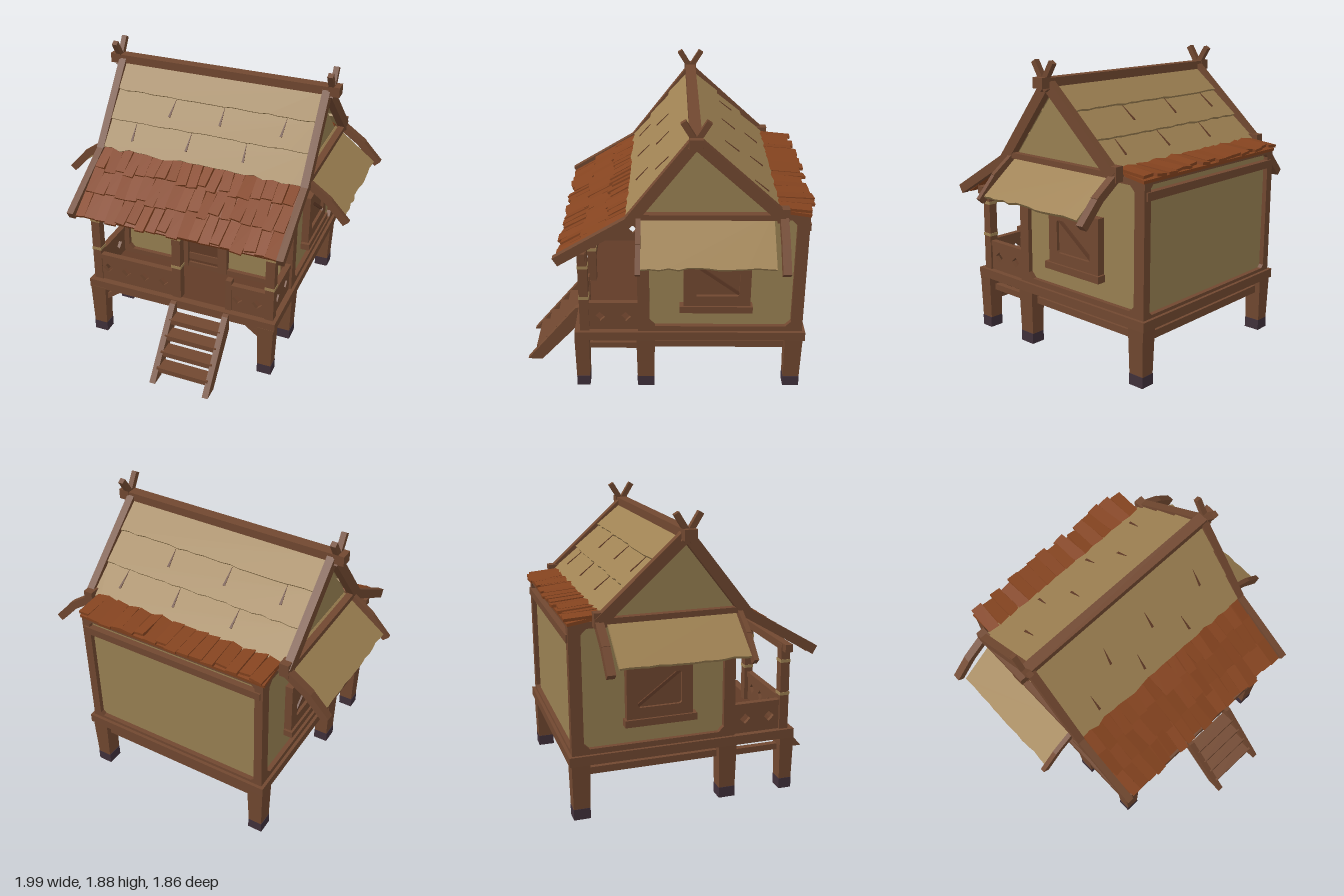
import * as THREE from 'three';
import { mergeGeometries } from 'three/addons/utils/BufferGeometryUtils.js';

const mat = (name, color) => Object.assign(new THREE.MeshStandardMaterial({ color, flatShading: true, side: THREE.DoubleSide }), { name });
const V = (x, y, z) => new THREE.Vector3(x, y, z);

export function createModel() {
  const timber = mat('timber', 0x714830), darkTimber = mat('dark timber', 0x613b27);
  const straw = mat('straw', 0x9f8253), plaster = mat('plaster', 0x988052);
  const shingle = mat('red shingle', 0x84431f), foot = mat('foot', 0x40303a);
  const model = new THREE.Group();
  model.name = 'stiltHouse';

  let seed = 7;
  const rnd = (a, b) => {
    seed = (seed * 16807) % 2147483647;
    return a + (b - a) * seed / 2147483647;
  };
  const add = (name, geo, m) => {
    const mesh = new THREE.Mesh(geo, m);
    mesh.name = name;
    model.add(mesh);
    return mesh;
  };
  // Axis-aligned box given by its limits
  const box = (name, m, x0, x1, y0, y1, z0, z1) =>
    add(name, new THREE.BoxGeometry(x1 - x0, y1 - y0, z1 - z0).translate((x0 + x1) / 2, (y0 + y1) / 2, (z0 + z1) / 2), m);
  // Square timber running from p to q
  const beam = (name, m, p, q, w, h) => {
    const mesh = add(name, new THREE.BoxGeometry(w, h, p.distanceTo(q)), m);
    mesh.position.copy(p).lerp(q, 0.5);
    mesh.lookAt(q);
    return mesh;
  };
  const poly = pts => pts.map(p => new THREE.Vector2(p[0], p[1]));
  const extrude = (shape, depth) =>
    new THREE.ExtrudeGeometry(shape, { depth, bevelEnabled: false }).translate(0, 0, -depth / 2);
  // Rectangle with cut corners
  const cutRect = (x0, x1, y0, y1, c) => poly([[x0 + c, y0], [x1 - c, y0], [x1, y0 + c], [x1, y1 - c],
    [x1 - c, y1], [x0 + c, y1], [x0, y1 - c], [x0, y0 + c]]);
  const frame = (w, h, side, bottom, top, cut, depth) => {
    const s = new THREE.Shape(poly([[-w / 2, 0], [w / 2, 0], [w / 2, h], [-w / 2, h]]));
    s.holes.push(new THREE.Path(cutRect(-w / 2 + side, w / 2 - side, bottom, h - top, cut)));
    return extrude(s, depth);
  };
  // Moves geometry drawn in (across, up-slope, normal) axes onto a slope
  const onSlope = (geo, top, bottom) => {
    const up = top.clone().sub(bottom).normalize();
    const across = V(0, 1, 0).cross(bottom.clone().sub(top)).normalize();
    const m = new THREE.Matrix4().makeBasis(across, up, across.clone().cross(up)).setPosition(top);
    return geo.applyMatrix4(m);
  };
  // Straw sheet with a ragged lower edge, hanging down from y = 0
  const ragged = (w, len, depth, teeth, jag) => {
    const pts = [[w / 2, 0], [-w / 2, 0]];
    for (let i = 0; i <= teeth; i++) pts.push([-w / 2 + w * i / teeth, -len - rnd(-jag, jag)]);
    return extrude(new THREE.Shape(poly(pts)), depth);
  };
  // Overlapping jittered shingles laid in rows
  const shingleRoof = (name, w, top, bottom, rows, perRow) => {
    const len = top.distanceTo(bottom), parts = [new THREE.BoxGeometry(w, len, 0.02).translate(0, -len / 2, -0.012)];
    for (let r = 0; r < rows; r++) for (let i = 0; i < perRow; i++) {
      const h = len / rows * rnd(1.0, 1.2), pw = w / perRow;
      const g = new THREE.BoxGeometry(pw * rnd(0.85, 1.12), h, 0.018);
      g.rotateZ(rnd(-0.09, 0.09)).rotateY(rnd(-0.16, 0.16)).rotateX(-0.07);
      parts.push(g.translate(-w / 2 + pw * (i + 0.5), -len / rows * r - h / 2 + rnd(0, 0.02), 0.012));
    }
    add(name, onSlope(mergeGeometries(parts), top, bottom), shingle);
  };

  // Legs with dark feet
  for (const s of [-1, 1]) for (const [z, w] of [[0.51, 0.085], [0.1, 0.11], [-0.85, 0.105]]) {
    const leg = new THREE.BoxGeometry(0.11, 0.3, w + 0.01);
    const p = leg.attributes.position;
    for (let i = 0; i < p.count; i++) if (p.getY(i) < 0) p.setXYZ(i, p.getX(i) * 0.82, p.getY(i), p.getZ(i) * 0.9);
    add('leg', leg.translate(s * 0.603, 0.22, z), timber);
    box('legFoot', foot, s * 0.603 - 0.048, s * 0.603 + 0.048, 0, 0.07, z - w / 2, z + w / 2);
  }

  // Floor, rim and low tie beams
  box('floor', darkTimber, -0.63, 0.63, 0.36, 0.415, -0.9, 0.53);
  for (const s of [-1, 1]) {
    box('sideRim', timber, s * 0.64 - 0.025, s * 0.64 + 0.025, 0.36, 0.42, -0.92, 0.555);
    box('sideTie', timber, s * 0.59 - 0.02, s * 0.59 + 0.02, 0.275, 0.32, -0.85, 0.1);
    box('porchSideTie', timber, s * 0.59 - 0.02, s * 0.59 + 0.02, 0.265, 0.305, 0.1, 0.5);
    beam('kneeBrace', timber, V(s * 0.56, 0.28, 0.51), V(s * 0.44, 0.37, 0.51), 0.035, 0.035);
  }
  for (const z of [0.53, -0.895]) box('endRim', timber, -0.66, 0.66, 0.36, 0.42, z - 0.025, z + 0.025);
  for (const z of [0.1, -0.85]) box('crossTie', timber, -0.57, 0.57, 0.265, 0.315, z - 0.02, z + 0.02);
  beam('crossBrace', timber, V(-0.56, 0.335, 0.08), V(0.56, 0.33, 0.08), 0.03, 0.03);

  // Walls with timber frames
  box('walls', plaster, -0.615, 0.615, 0.41, 1.25, -0.87, 0.12);
  for (const s of [-1, 1]) {
    add('sideFrame', frame(1.05, 0.84, 0.075, 0.045, 0.04, 0.035, 0.05).rotateY(s * Math.PI / 2).translate(s * 0.62, 0.41, -0.375), timber);
    // Shuttered window
    const win = frame(0.42, 0.36, 0.07, 0.08, 0.07, 0.012, 0.06).rotateY(s * Math.PI / 2);
    add('windowFrame', win.translate(s * 0.635, 0.61, -0.35), timber);
    box('windowShutter', timber, s * 0.63 - 0.015, s * 0.63 + 0.015, 0.67, 0.92, -0.51, -0.19);
    beam('shutterBrace', darkTimber, V(s * 0.647, 0.7, -0.49), V(s * 0.647, 0.9, -0.22), 0.02, 0.02);
    box('windowSill', timber, s * 0.65 - 0.03, s * 0.65 + 0.03, 0.575, 0.62, -0.575, -0.115);
  }
  add('backFrame', frame(1.28, 0.84, 0.05, 0.03, 0.03, 0.02, 0.04).translate(0, 0.41, -0.88), timber);
  box('backBeam', timber, -0.63, 0.63, 1.13, 1.18, -0.91, -0.86);
  add('frontFrame', frame(1.28, 0.84, 0.075, 0.04, 0.05, 0.03, 0.04).translate(0, 0.41, 0.13), timber);

  // Door
  box('door', darkTimber, -0.12, 0.14, 0.42, 0.96, 0.115, 0.135);
  for (const x of [-0.135, 0.15]) box('doorJamb', timber, x - 0.033, x + 0.033, 0.42, 1.0, 0.11, 0.165);
  box('doorLintel', timber, -0.18, 0.19, 0.95, 1.01, 0.11, 0.17);
  for (const y of [0.5, 0.72, 0.9]) box('doorRail', timber, -0.1, 0.12, y - 0.025, y + 0.025, 0.13, 0.145);

  // Porch posts with straw bindings, and the beam they carry
  for (const x of [-0.612, -0.03, 0.612]) {
    box('porchPost', timber, x - 0.03, x + 0.03, 0.4, 0.99, 0.46, 0.52);
    for (const y of [0.66, 0.88]) box('postBinding', straw, x - 0.033, x + 0.033, y - 0.01, y + 0.01, 0.457, 0.523);
  }
  box('porchBeam', timber, -0.69, 0.69, 0.95, 1.0, 0.465, 0.515);

  // Railings pierced with diamonds
  const railing = (w, holes) => {
    const s = new THREE.Shape(poly([[-w / 2, 0.42], [w / 2, 0.42], [w / 2, 0.6], [-w / 2, 0.6]]));
    for (let i = 0; i < holes; i++) {
      const c = -w / 2 + w * (i + 0.5) / holes, r = 0.035;
      s.holes.push(new THREE.Path(poly([[c - r, 0.515], [c, 0.48], [c + r, 0.515], [c, 0.55]])));
    }
    return extrude(s, 0.025);
  };
  const handrail = (x0, x1, z0, z1) => box('handrail', timber, x0, x1, 0.585, 0.62, z0, z1);
  add('frontRailing', railing(0.55, 4).translate(-0.335, 0, 0.5), timber);
  add('frontRailing', railing(0.27, 2).translate(0.46, 0, 0.5), timber);
  handrail(-0.64, -0.06, 0.48, 0.52);
  handrail(0.32, 0.64, 0.48, 0.52);
  box('newelPost', timber, 0.315, 0.355, 0.42, 0.65, 0.475, 0.52);
  for (const s of [-1, 1]) {
    add('sideRailing', railing(0.33, 2).rotateY(Math.PI / 2).translate(s * 0.615, 0, 0.31), timber);
    handrail(s * 0.615 - 0.02, s * 0.615 + 0.02, 0.15, 0.48);
  }

  // Stairs
  const stringer = new THREE.Shape(poly([[0.92, 0], [0.82, 0], [0.55, 0.29], [0.55, 0.415], [0.58, 0.405]]));
  for (const x of [-0.035, 0.335]) add('stairStringer', extrude(stringer, 0.04).rotateY(-Math.PI / 2).translate(x, 0, 0), timber);
  for (let i = 0; i < 4; i++) {
    const y = 0.07 + i * 0.08, z = 0.81 - i * 0.07;
    box('stairTread', timber, -0.03, 0.33, y - 0.018, y + 0.018, z - 0.045, z + 0.05);
  }

  // Main roof: three overlapping straw courses on each slope
  const ridge = V(0, 1.73, -0.2);
  for (const [name, eave] of [['frontThatch', V(0, 1.25, 0.18)], ['backThatch', V(0, 1.27, -0.7)]]) {
    const len = ridge.distanceTo(eave), geos = [];
    for (let i = 0; i < 3; i++) {
      const g = ragged(1.38, len / 3 + 0.01, 0.03, 22, i === 2 ? 0.014 : 0.005).rotateX(-0.07);
      geos.push(g.translate(0, -len * i / 3, 0));
    }
    add(name, onSlope(mergeGeometries(geos), ridge, eave), straw);
    // Wedge-shaped splits in the straw
    for (let i = 0; i < 6; i++) {
      const x = -0.5 + i * 0.2 + rnd(-0.05, 0.05), row = i % 2 ? 1 : 2;
      const g = extrude(new THREE.Shape(poly([[x - 0.008, -0.13], [x + 0.008, -0.13], [x + rnd(-0.02, 0.02), 0]])), 0.006);
      add('thatchSplit', onSlope(g.rotateX(-0.07).translate(0, -len * row / 3 - 0.01, 0.017), ridge, eave), darkTimber);
    }
  }
  shingleRoof('porchRoof', 1.37, V(0, 1.26, 0.17), V(0, 0.965, 0.62), 3, 19);
  shingleRoof('backEaveRoof', 1.31, V(0, 1.29, -0.68), V(0, 1.255, -0.905), 1, 16);

  // Ridge, gables and bargeboards
  box('ridgeBeam', timber, -0.79, 0.79, 1.72, 1.775, -0.235, -0.165);
  for (const s of [-1, 1]) {
    const x = s * 0.71;
    box('ridgeCap', timber, s * 0.76 - 0.035, s * 0.76 + 0.035, 1.715, 1.78, -0.24, -0.16);
    const gable = new THREE.Shape(poly([[0.15, 1.25], [-0.2, 1.7], [-0.68, 1.25]]));
    add('gablePanel', extrude(gable, 0.02).rotateY(-Math.PI / 2).translate(s * 0.65, 0, 0), plaster);
    beam('frontBargeboard', timber, V(x, 1.74, -0.2), V(x, 1.235, 0.19), 0.05, 0.07);
    beam('backBargeboard', timber, V(x, 1.74, -0.2), V(x, 1.26, -0.73), 0.05, 0.07);
    beam('porchBargeboard', timber, V(x, 1.25, 0.17), V(x, 0.965, 0.645), 0.045, 0.06);
    box('gableTie', timber, x - 0.022, x + 0.022, 1.25, 1.285, -0.71, 0.17);
    // Crossed finial
    for (const d of [-1, 1]) beam('finial', timber, V(s * 0.74, 1.7, -0.2 - d * 0.03), V(s * 0.74, 1.87, -0.2 + d * 0.075), 0.035, 0.035);
    // Side awning with bent rafters
    const awning = ragged(0.8, 0.365, 0.02, 14, 0.008);
    add('sideAwning', onSlope(awning, V(s * 0.66, 1.265, -0.275), V(s * 0.95, 1.04, -0.275)), straw);
    for (const [z, w] of [[0.135, 0.03], [-0.73, 0.05]]) {
      beam('awningRafter', timber, V(s * 0.67, 1.28, z), V(s * 0.86, 1.145, z), w, 0.05);
      beam('awningRafter', timber, V(s * 0.845, 1.155, z), V(s * 0.975, 1.015, z), w, 0.05);
    }
    box('eaveBracket', timber, s * 0.7 - 0.03, s * 0.7 + 0.03, 1.23, 1.32, -0.76, -0.69);
  }
  return model;
}
